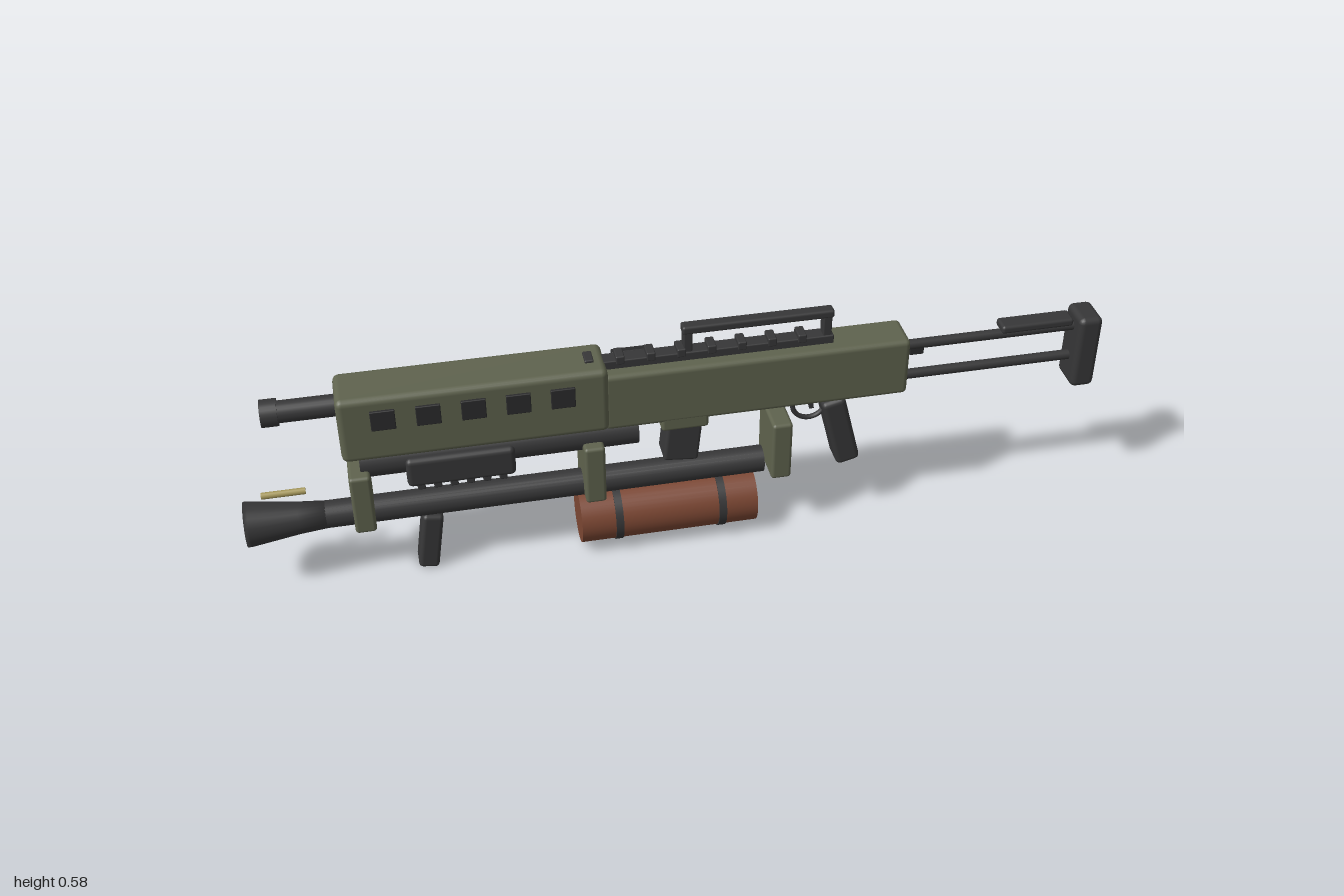
import * as THREE from 'three';
import { RoundedBoxGeometry } from 'three/addons/geometries/RoundedBoxGeometry.js';

function material(name, color) {
  const m = new THREE.MeshStandardMaterial({ color });
  m.name = name;
  return m;
}

export function createModel() {
  const model = new THREE.Group();
  model.name = 'rifle';
  const olive = material('olive', 0x5f634e);
  const dark = material('darkMetal', 0x373738);
  const black = material('black', 0x2b2b2c);
  const rust = material('rust', 0x7c4733);
  const brass = material('brass', 0xa89a5c);
  const orange = material('orange', 0xc8662c);

  const add = (name, geometry, mat, x, y, z = 0, tilt = 0) => {
    const mesh = new THREE.Mesh(geometry, mat);
    mesh.name = name;
    mesh.position.set(x, y, z);
    mesh.rotation.z = tilt;
    model.add(mesh);
    return mesh;
  };
  // Rounded box given by its x and y extents and its depth
  const box = (name, mat, x0, x1, y0, y1, depth, z = 0, r = 0.008) => {
    const w = x1 - x0, h = y1 - y0;
    const radius = Math.min(r, 0.45 * Math.min(w, h, depth));
    return add(name, new RoundedBoxGeometry(w, h, depth, 2, radius), mat, (x0 + x1) / 2, (y0 + y1) / 2, z);
  };
  // Cylinder along x
  const rod = (name, mat, x0, x1, y, r, z = 0, sides = 24) => {
    const g = new THREE.CylinderGeometry(r, r, x1 - x0, sides).rotateZ(Math.PI / 2);
    return add(name, g, mat, (x0 + x1) / 2, y, z);
  };

  // Main body
  box('handguard', olive, -0.765, -0.17, 0.36, 0.525, 0.122, 0, 0.015);
  box('receiver', olive, -0.18, 0.53, 0.354, 0.5, 0.1, 0, 0.012);
  for (const side of [1, -1]) {
    for (let i = 0; i < 5; i++) {
      const x = -0.667 + i * 0.0985;
      box('vent', black, x - 0.027, x + 0.027, 0.445, 0.495, 0.009, side * 0.063, 0.002);
    }
  }
  box('ejectionPort', black, 0.18, 0.3, 0.428, 0.472, 0.014, -0.053, 0.002);
  box('chargingButton', black, 0.565, 0.6, 0.39, 0.425, 0.012, -0.054, 0.003);
  box('displayFrame', black, -0.145, -0.05, 0.437, 0.5, 0.016, -0.054, 0.002);
  box('displayScreen', orange, -0.133, -0.062, 0.447, 0.49, 0.008, -0.063, 0.002);

  // Upper barrel
  rod('barrel', dark, -0.9, -0.75, 0.48, 0.025);
  rod('muzzle', dark, -0.925, -0.888, 0.48, 0.031);

  // Tube below the handguard with its ribbed slide
  rod('pumpTube', dark, -0.73, -0.1, 0.321, 0.039);
  box('pumpSlide', dark, -0.63, -0.385, 0.262, 0.337, 0.1, 0, 0.012);
  for (let i = 0; i < 6; i++) {
    const x = -0.6 + i * 0.037;
    box('slideRib', dark, x - 0.009, x + 0.009, 0.252, 0.275, 0.092, 0, 0.003);
  }

  // Lower launcher barrel with flared nozzle
  rod('launcherBarrel', dark, -0.84, 0.2, 0.181, 0.032);
  const profile = [[0, 0], [0.032, 0], [0.037, 0.06], [0.052, 0.17], [0.052, 0.18], [0, 0.18]];
  const nozzle = new THREE.LatheGeometry(profile.map(([r, y]) => new THREE.Vector2(r, y)), 28);
  add('nozzle', nozzle, dark, -0.82, 0.181, 0, Math.PI / 2);
  rod('pilotTube', brass, -0.96, -0.86, 0.217, 0.008, -0.05, 12);
  for (const x of [-0.734, -0.207, 0.232]) {
    box('mountBracket', olive, x - 0.024, x + 0.024, 0.163, 0.318, 0.13, 0, 0.008);
  }

  // Fuel tank
  rod('fuelTank', rust, -0.243, 0.178, 0.083, 0.067, 0, 36);
  for (const x of [-0.154, 0.093]) rod('tankBand', dark, x - 0.009, x + 0.009, 0.083, 0.07, 0, 36);

  // Grips
  add('foregrip', new RoundedBoxGeometry(0.048, 0.152, 0.06, 2, 0.01), dark, -0.592, 0.08, 0, -0.15);
  add('pistolGrip', new RoundedBoxGeometry(0.058, 0.188, 0.07, 2, 0.012), dark, 0.383, 0.252, 0, 0.25);
  const guard = new THREE.TorusGeometry(0.04, 0.006, 8, 24, Math.PI).rotateZ(Math.PI);
  add('triggerGuard', guard, dark, 0.31, 0.325);
  box('guardPost', dark, 0.264, 0.276, 0.322, 0.358, 0.012);
  add('trigger', new THREE.BoxGeometry(0.01, 0.045, 0.012), dark, 0.312, 0.335, 0, 0.15);

  // Magazine
  box('magazineWell', olive, -0.05, 0.06, 0.33, 0.37, 0.098);
  add('magazine', new RoundedBoxGeometry(0.082, 0.125, 0.068, 2, 0.008), dark, 0.004, 0.292, 0, -0.1);

  // Top rail and carrying handle
  box('rail', dark, -0.2, 0.355, 0.495, 0.52, 0.036, 0, 0.003);
  for (let i = 0; i < 8; i++) {
    const x = -0.206 + i * 0.0695;
    box('railTooth', dark, x - 0.01, x + 0.01, 0.51, 0.531, 0.04, 0, 0.003);
  }
  for (const x of [0.018, 0.34]) box('handlePost', dark, x - 0.01, x + 0.01, 0.51, 0.575, 0.028, 0, 0.003);
  box('handleBar', dark, 0.005, 0.355, 0.564, 0.584, 0.03, 0, 0.006);

  // Skeleton stock
  for (const y of [0.457, 0.374]) rod('stockRod', dark, 0.5, 0.96, y, 0.012, 0, 16);
  box('cheekRest', dark, 0.76, 0.935, 0.468, 0.488, 0.046, 0, 0.007);
  box('buttPad', dark, 0.943, 1, 0.304, 0.494, 0.088, 0, 0.014);

  return model;
}
